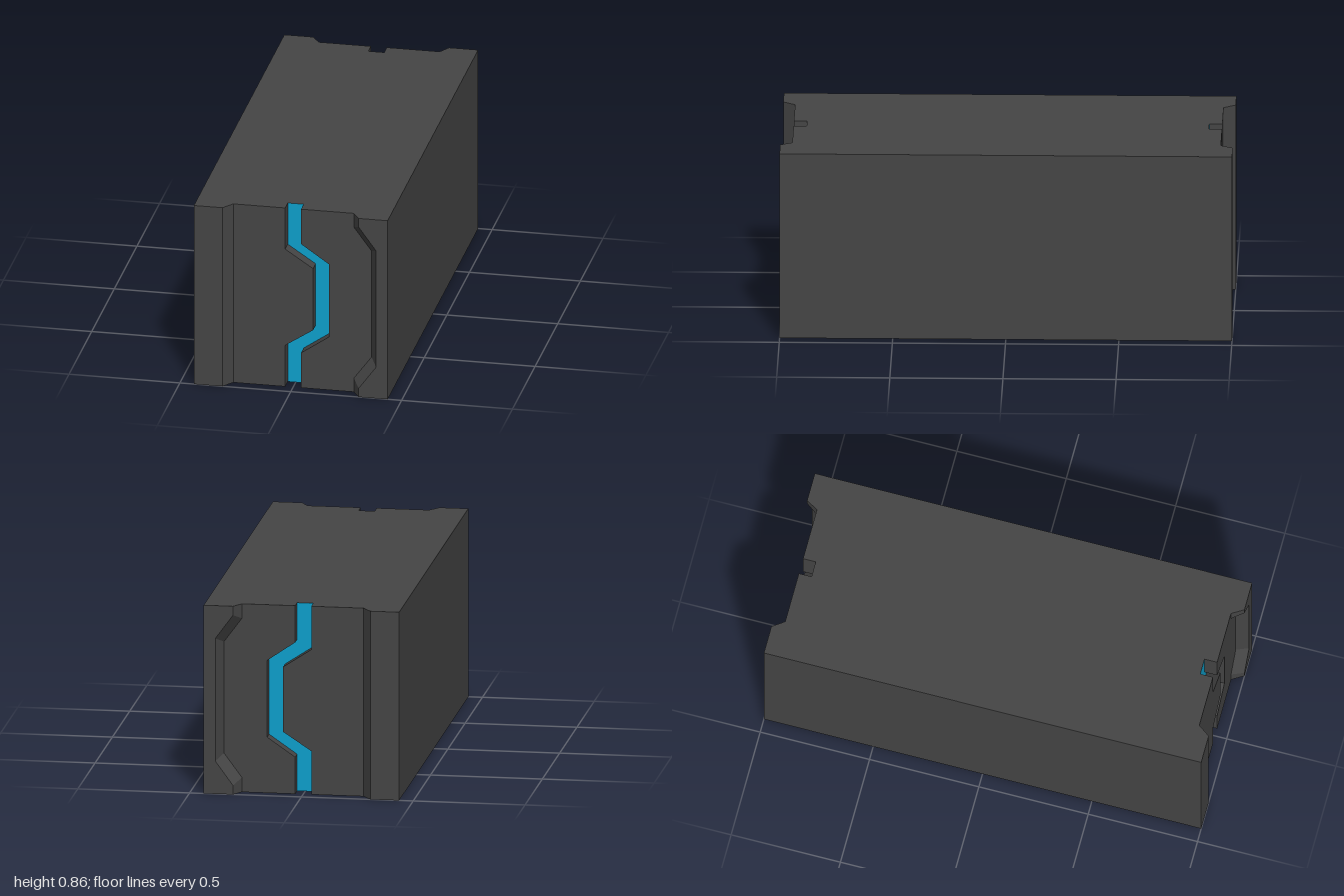
import * as THREE from 'three';

const W = 0.437, H = 0.855;                  // half width, height
const Z_END = 1, Z_FACE = 0.947, Z_GROOVE = 0.889;

// Extrudes an outline from z0 to z1; the far outline may differ from the near one.
function prism(near, far, z0, z1) {
  const shape = new THREE.Shape(near.map(([x, y]) => new THREE.Vector2(x, y)));
  const geo = new THREE.ExtrudeGeometry(shape, { depth: z1 - z0, bevelEnabled: false });
  geo.translate(0, 0, z0);
  const pos = geo.attributes.position;
  const mid = (z0 + z1) / 2;
  for (let i = 0; i < pos.count; i++) {
    if (pos.getZ(i) < mid) continue;
    const k = near.findIndex(([x, y]) =>
      Math.abs(x - pos.getX(i)) < 1e-5 && Math.abs(y - pos.getY(i)) < 1e-5);
    pos.setXY(i, far[k][0], far[k][1]);
  }
  geo.computeVertexNormals();
  return geo;
}

// Edge from bottom to top that steps from x0 out to x1 between heights ya and yb.
const steppedEdge = (x0, x1, ya, yb) => [
  [x0, 0], [x0, ya], [x1, yb], [x1, H - yb], [x0, H - ya], [x0, H],
];
const block = (xa, xb) => [[xa, 0], [xb, 0], [xb, H], [xa, H]];

export function createModel() {
  const dark = new THREE.MeshStandardMaterial({ color: 0x454545 });
  dark.name = 'dark grey';
  const blue = new THREE.MeshStandardMaterial({ color: 0x0ea0cc });
  blue.name = 'bright blue';

  const model = new THREE.Group();
  model.name = 'block';
  const add = (name, geo, material) => {
    const mesh = new THREE.Mesh(geo, material);
    mesh.name = name;
    model.add(mesh);
  };

  // Two body halves, divided by the zigzag groove
  const grooveRight = steppedEdge(-0.036, 0.09, 0.197, 0.28);
  const grooveLeft = steppedEdge(0.036, 0.161, 0.167, 0.253);
  const rightHalf = [...grooveRight, [-W, H], [-W, 0]];
  const leftHalf = [...grooveLeft, [W, H], [W, 0]];
  add('rightBody', prism(rightHalf, rightHalf, -Z_FACE, Z_FACE), dark);
  add('leftBody', prism(leftHalf, leftHalf, -Z_FACE, Z_FACE), dark);

  // Filling between the halves; its end caps are the coloured groove floors
  const filler = [...grooveRight, ...[...grooveLeft].reverse()];
  add('grooveFloor', prism(filler, filler, -Z_GROOVE, Z_GROOVE), [blue, dark]);

  // Raised, bevelled rails along both sides of each end
  const straightBase = block(-W, -0.27);
  const straightTop = block(-W, -0.308);
  const steppedBase = [...steppedEdge(0.274, 0.354, 0.066, 0.174), [W, H], [W, 0]];
  const steppedTop = [...steppedEdge(0.306, 0.385, 0.041, 0.149), [W, H], [W, 0]];
  for (const [name, base, top] of [
    ['StraightRail', straightBase, straightTop],
    ['SteppedRail', steppedBase, steppedTop],
  ]) {
    add('front' + name, prism(base, top, Z_FACE, Z_END), dark);
    add('back' + name, prism(top, base, -Z_END, -Z_FACE), dark);
  }
  return model;
}
